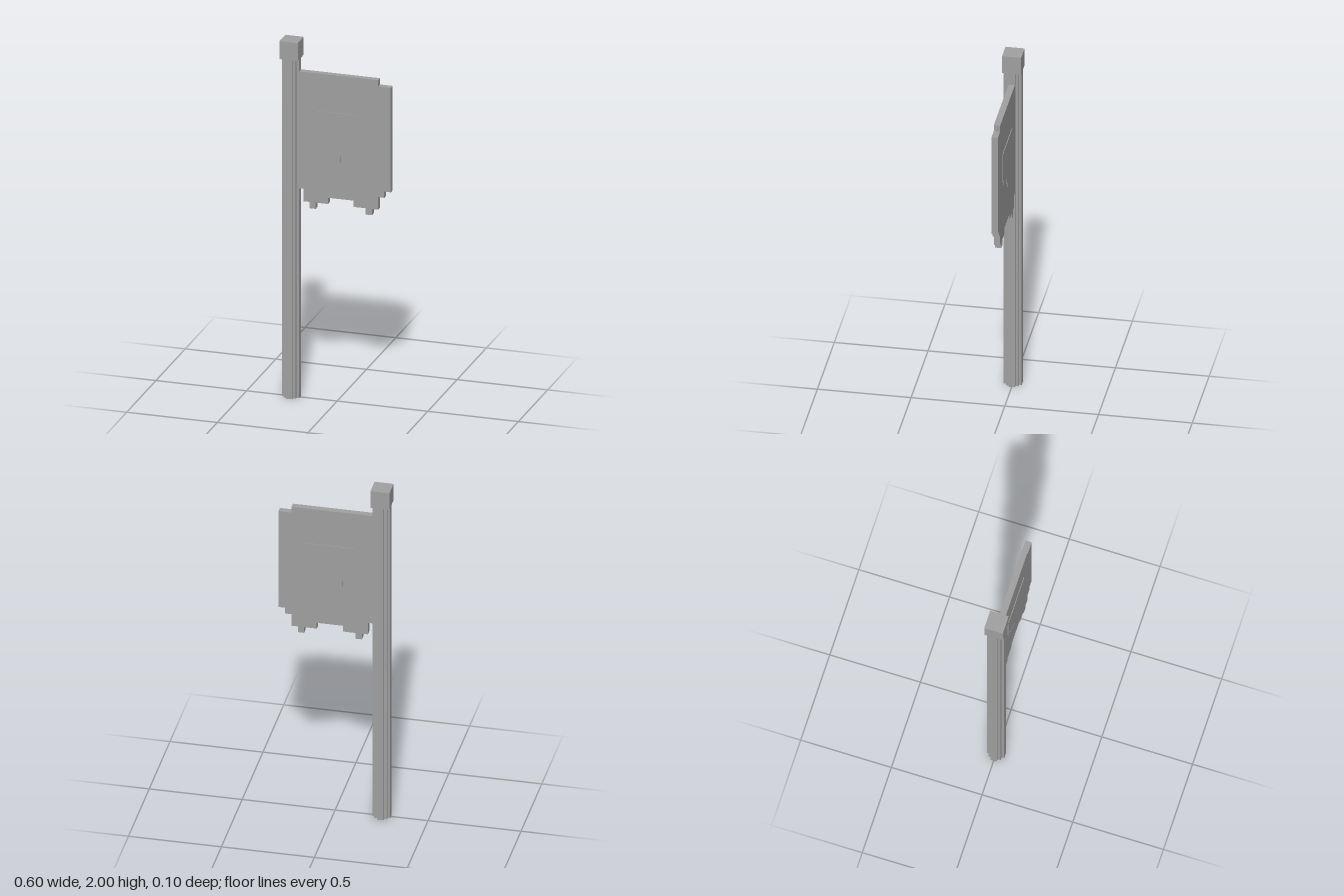
import * as THREE from 'three';

// Closed outline extruded by depth and centred on z = 0
function plate(points, depth) {
  const shape = new THREE.Shape(points.map(([x, y]) => new THREE.Vector2(x, y)));
  const geo = new THREE.ExtrudeGeometry(shape, { depth, bevelEnabled: false });
  return geo.translate(0, 0, -depth / 2);
}

export function createModel() {
  const group = new THREE.Group();
  group.name = 'bannerPole';
  const grey = new THREE.MeshStandardMaterial({ color: 0xa0a0a0 });
  grey.name = 'grey';

  const add = (name, geo, x = 0, y = 0) => {
    const mesh = new THREE.Mesh(geo, grey);
    mesh.name = name;
    mesh.position.set(x, y, 0);
    group.add(mesh);
    return mesh;
  };

  // Pole: stepped round section, one quarter repeated four times
  const quarter = [[0.048, -0.017], [0.048, 0.017], [0.034, 0.017], [0.034, 0.034], [0.017, 0.034]];
  const section = [];
  for (let i = 0; i < 4; i++) {
    for (const [x, y] of quarter) {
      section.push([[x, y], [-y, x], [-x, -y], [y, -x]][i]);
    }
  }
  const poleGeo = plate(section, 1.9).rotateX(-Math.PI / 2);
  add('pole', poleGeo, -0.252, 0.95);

  // Square finial
  add('finial', new THREE.BoxGeometry(0.102, 0.1, 0.102), -0.252, 1.95);

  // Flag with a ragged, stepped lower edge
  add('flag', plate([
    [-0.215, 1.83], [-0.215, 1.175], [-0.18, 1.175], [-0.18, 1.105],
    [-0.148, 1.105], [-0.148, 1.07], [-0.113, 1.07], [-0.113, 1.105],
    [-0.045, 1.105], [-0.045, 1.14], [0.095, 1.14], [0.095, 1.105],
    [0.163, 1.105], [0.163, 1.07], [0.197, 1.07], [0.197, 1.105],
    [0.231, 1.105], [0.231, 1.175], [0.265, 1.175], [0.265, 1.21],
    [0.301, 1.21], [0.301, 1.795], [0.231, 1.795], [0.231, 1.83],
  ], 0.034));

  // Raised stepped shield, standing proud of both faces of the flag
  add('shield', plate([
    [-0.112, 1.62], [-0.112, 1.449], [-0.078, 1.449], [-0.078, 1.415],
    [-0.043, 1.415], [-0.043, 1.38], [-0.009, 1.38], [-0.009, 1.345],
    [0.026, 1.345], [0.026, 1.38], [0.06, 1.38], [0.06, 1.415],
    [0.129, 1.415], [0.129, 1.449], [0.163, 1.449], [0.163, 1.62],
  ], 0.041));

  return group;
}
